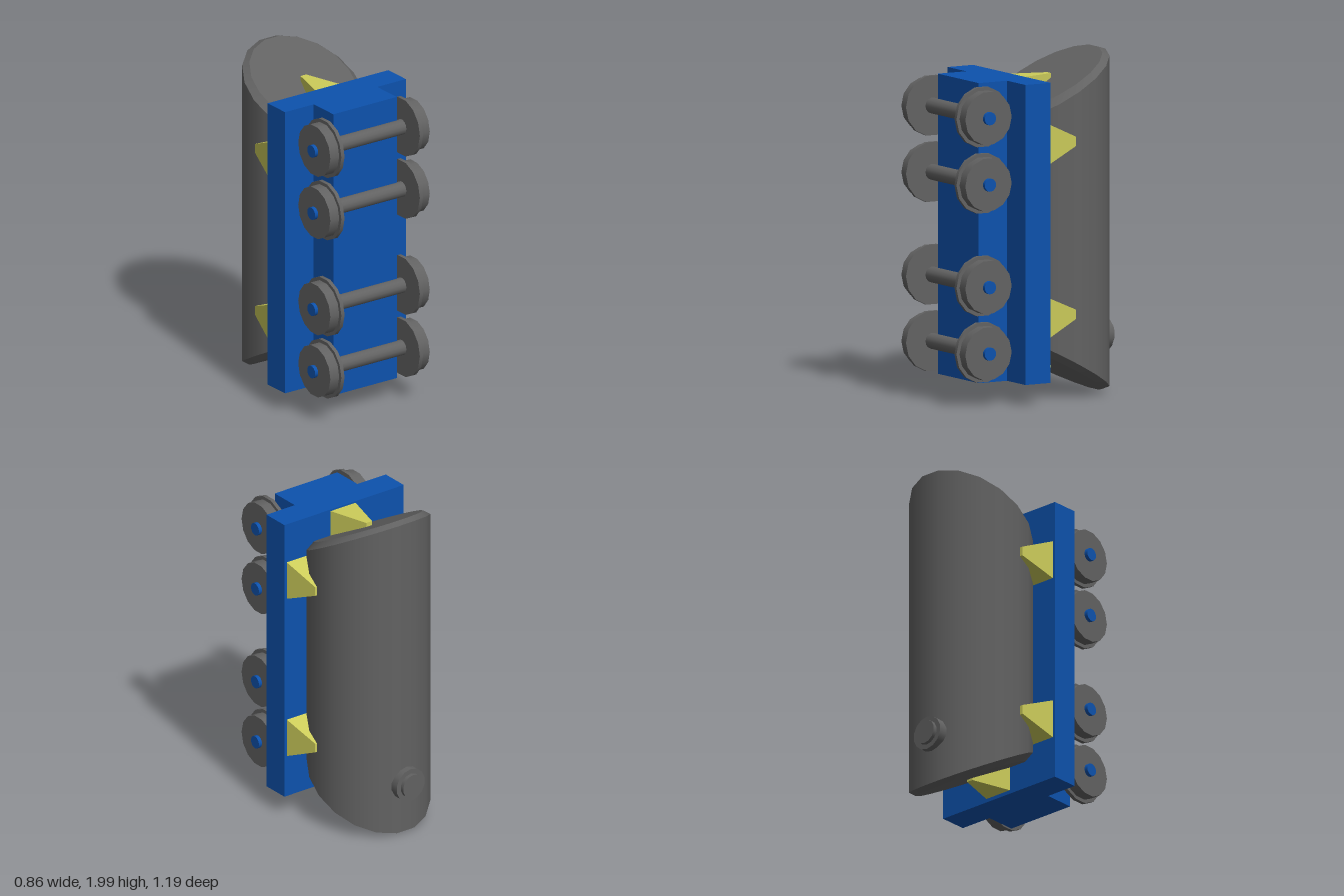
import * as THREE from 'three';

const grey = new THREE.MeshStandardMaterial({ color: 0x626262 });
const blue = new THREE.MeshStandardMaterial({ color: 0x0d52ad });
const yellow = new THREE.MeshStandardMaterial({ color: 0xcccc5a, flatShading: true });

export function createModel() {
  const model = new THREE.Group();
  model.name = 'tankWagon';

  const add = (parent, name, geometry, material, x = 0, y = 0, z = 0) => {
    const mesh = new THREE.Mesh(geometry, material);
    mesh.name = name;
    mesh.position.set(x, y, z);
    parent.add(mesh);
    return mesh;
  };
  const group = (name) => {
    const g = new THREE.Group();
    g.name = name;
    model.add(g);
    return g;
  };

  // Chassis: wide deck with a narrower beam between the wheels
  add(model, 'deck', new THREE.BoxGeometry(0.86, 1.74, 0.17), blue, 0, 1, 0.137);
  add(model, 'underframe', new THREE.BoxGeometry(0.452, 1.74, 0.2), blue, 0, 1, 0.312);

  // Wheel sets: axle, blue axle ends, flanged wheels
  for (const y of [0.315, 0.7, 1.295, 1.68]) {
    const set = group('wheelSet');
    set.position.set(-0.011, y, 0.417);
    const disc = (name, r, x0, x1, material, sides) =>
      add(set, name, new THREE.CylinderGeometry(r, r, x1 - x0, sides).rotateZ(Math.PI / 2), material, (x0 + x1) / 2);
    disc('axle', 0.046, -0.28, 0.28, grey, 14);
    disc('axleEnds', 0.038, -0.376, 0.376, blue, 14);
    for (const s of [-1, 1]) {
      const span = (a, b) => (s > 0 ? [a, b] : [-b, -a]);
      disc('wheelFlange', 0.177, ...span(0.268, 0.291), grey, 14);
      disc('wheelTread', 0.156, ...span(0.291, 0.354), grey, 14);
    }
  }

  // Tank: upright 18-sided barrel with slanted, bevelled ends
  const tank = group('tank');
  const R = 0.356, r = 0.315, cz = -0.185;
  const rim = (z) => 1.66 + 0.54 * (0.06 - z);
  const face = (z) => 1.70 + 0.53 * (0.06 - z);
  const low = (f) => (z) => 2 - f(z);
  const ring = (name, rTop, fTop, rBottom, fBottom, renormal = true) => {
    const g = new THREE.CylinderGeometry(rTop, rBottom, 1, 18, 1, true, Math.PI / 18);
    g.translate(0.004, 0, cz);
    const p = g.attributes.position;
    for (let i = 0; i < p.count; i++) p.setY(i, (p.getY(i) > 0 ? fTop : fBottom)(p.getZ(i)));
    if (renormal) g.computeVertexNormals();
    add(tank, name, g, grey);
  };
  ring('tankBarrel', R, rim, R, low(rim), false);
  ring('topBevel', r, face, R, rim);
  ring('topEnd', 0, face, r, face);
  ring('bottomBevel', R, low(rim), r, low(face));
  ring('bottomEnd', r, low(face), 0, low(face));

  // Filler cap on the back of the tank
  const cap = group('fillerCap');
  add(cap, 'capBase', new THREE.CylinderGeometry(0.102, 0.102, 0.06, 14).rotateX(Math.PI / 2), grey, -0.004, 0.322, -0.545);
  add(cap, 'capLid', new THREE.CylinderGeometry(0.073, 0.073, 0.03, 14).rotateX(Math.PI / 2), grey, -0.005, 0.322, -0.583);

  // Saddles: tapered blocks between deck and tank.
  // base and tip are [x0, x1, y0, y1] at the given depths
  const saddle = (name, base, tip, zBase, zTip) => {
    const g = new THREE.BoxGeometry(1, 1, 1);
    const p = g.attributes.position;
    for (let i = 0; i < p.count; i++) {
      const onBase = p.getZ(i) > 0;
      const e = onBase ? base : tip;
      p.setXYZ(i, e[p.getX(i) > 0 ? 1 : 0], e[p.getY(i) > 0 ? 3 : 2], onBase ? zBase : zTip);
    }
    g.computeVertexNormals();
    add(model, name, g, yellow);
  };
  for (const top of [true, false]) {
    const ys = (a, b) => (top ? [a, b] : [2.012 - b, 2.012 - a]);
    saddle('endSaddle', [-0.085, 0.1, ...ys(1.66, 1.86)], [-0.015, 0.026, ...ys(1.7, 1.86)], 0.06, -0.194);
    for (const s of [-1, 1]) {
      const xs = (a, b) => (s > 0 ? [a, b] : [-b, -a]);
      saddle('sideSaddle', [...xs(0.2, 0.415), ...ys(1.39, 1.63)], [...xs(0.28, 0.366), ...ys(1.48, 1.535)], 0.06, -0.156);
    }
  }

  return model;
}
